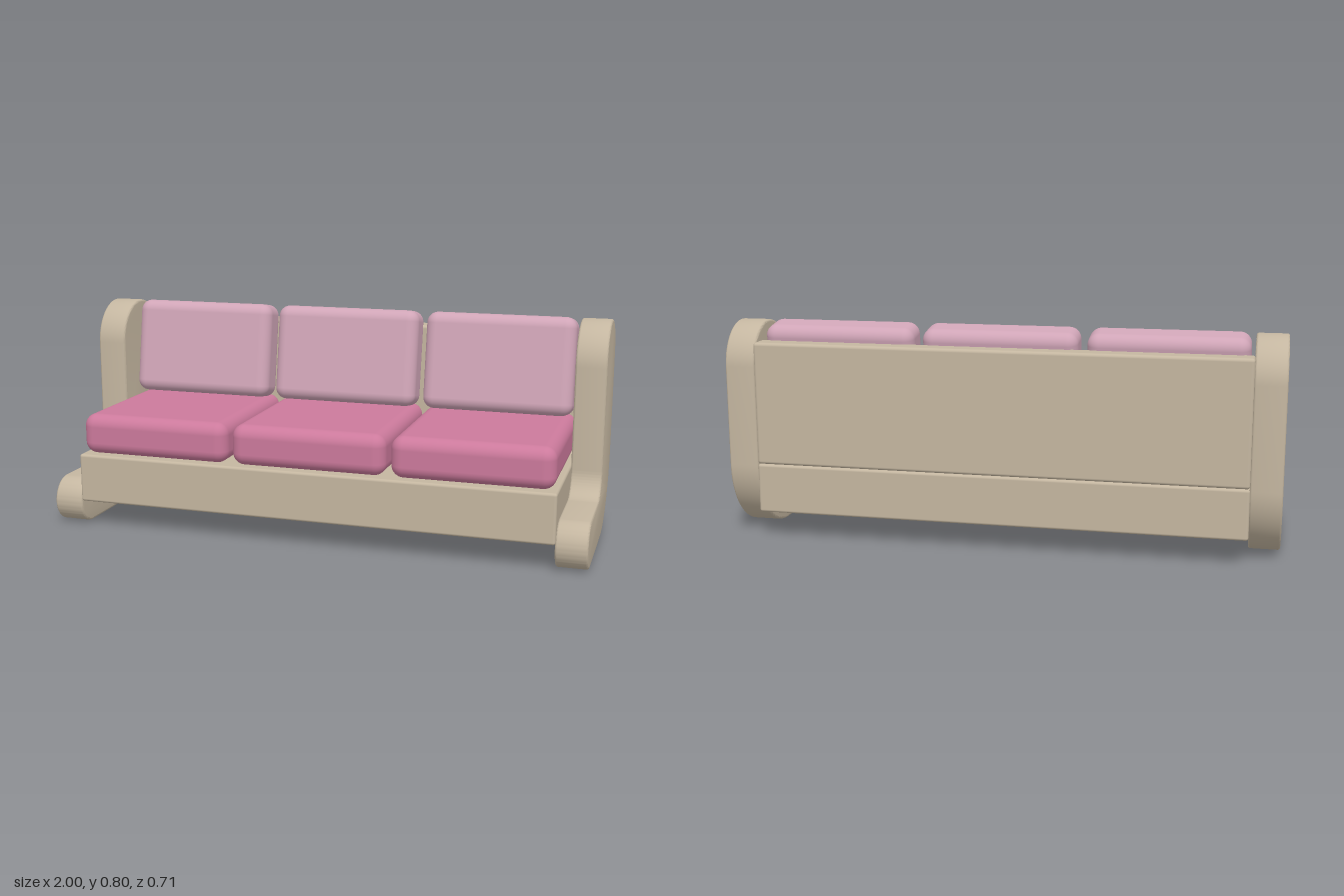
import * as THREE from 'three';
import { toCreasedNormals } from 'three/addons/utils/BufferGeometryUtils.js';
import { RoundedBoxGeometry } from 'three/addons/geometries/RoundedBoxGeometry.js';

const material = (name, color) => {
  const m = new THREE.MeshStandardMaterial({ color });
  m.name = name;
  return m;
};

export function createModel() {
  const sofa = new THREE.Group();
  sofa.name = 'sofa';
  const beige = material('beigeFabric', 0xc4b6a0);
  const rose = material('roseFabric', 0xcc7a9c);
  const pale = material('palePinkFabric', 0xd0a5b7);

  const softBox = (name, mat, size, radius, pos, tilt = 0) => {
    const mesh = new THREE.Mesh(new RoundedBoxGeometry(...size, 5, radius), mat);
    mesh.name = name;
    mesh.position.set(...pos);
    mesh.rotation.x = tilt;
    sofa.add(mesh);
  };

  // Base and backrest panel
  softBox('base', beige, [1.78, 0.182, 0.71], 0.01, [0, 0.189, 0]);
  softBox('backPanel', beige, [1.78, 0.45, 0.085], 0.012, [0, 0.505, -0.312]);

  // Three seat cushions with reclined back cushions
  for (const [i, side] of ['right', 'middle', 'left'].entries()) {
    const x = (i - 1) * 0.593;
    softBox(side + 'SeatCushion', rose, [0.575, 0.15, 0.615], 0.045, [x, 0.355, 0.0375]);
    softBox(side + 'BackCushion', pale, [0.562, 0.365, 0.142], 0.042, [x, 0.612, -0.195], -0.17);
  }

  // L-shaped arm outline: shape x runs along z, shape y is height
  const outline = new THREE.Shape();
  outline.moveTo(-0.08, 0.002);
  outline.lineTo(0.27, 0.002);
  outline.absarc(0.27, 0.087, 0.085, -Math.PI / 2, Math.PI / 2, false);
  outline.lineTo(0.05, 0.172);
  outline.absarc(0.05, 0.262, 0.09, -Math.PI / 2, -Math.PI, true);
  outline.lineTo(-0.041, 0.639);
  outline.absarc(-0.197, 0.639, 0.156, 0, Math.PI, false);
  outline.lineTo(-0.353, 0.275);
  outline.absarc(-0.08, 0.275, 0.273, Math.PI, Math.PI * 1.5, false);

  const bevel = 0.008;
  const armGeometry = new THREE.ExtrudeGeometry(outline, {
    depth: 0.112 - 2 * bevel,
    bevelThickness: bevel,
    bevelSize: bevel,
    bevelOffset: -bevel,
    bevelSegments: 3,
    curveSegments: 20,
  });
  armGeometry.translate(0, 0, bevel - 0.056);
  armGeometry.rotateY(-Math.PI / 2);
  const arm = toCreasedNormals(armGeometry, 0.6);
  for (const s of [-1, 1]) {
    const mesh = new THREE.Mesh(arm, beige);
    mesh.name = s < 0 ? 'rightArm' : 'leftArm';
    mesh.position.x = s * 0.944;
    sofa.add(mesh);
  }
  return sofa;
}
